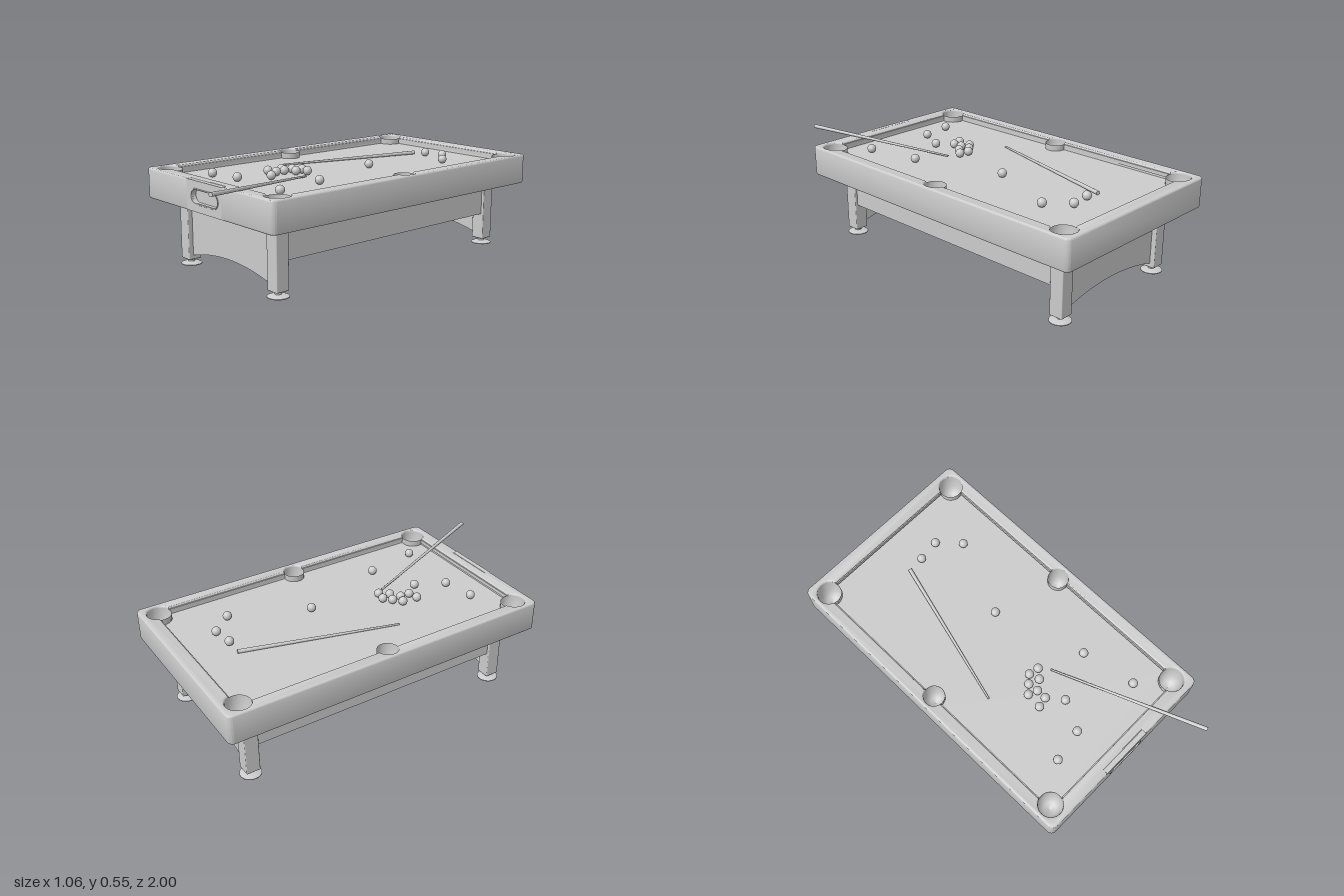
import * as THREE from 'three';
import { toCreasedNormals } from 'three/addons/utils/BufferGeometryUtils.js';
import { RoundedBoxGeometry } from 'three/addons/geometries/RoundedBoxGeometry.js';

const CZ = -0.105; // centre of the table along z
const BED = 0.468, TOP = 0.51, BOTTOM = 0.35;
const grey = new THREE.MeshStandardMaterial({ color: 0xcccccc, side: THREE.DoubleSide });

// Pockets in plan: x, z from the table centre, radius, outward angle, half sweep (degrees)
const pockets = [
  [0.455, 0, 0.055, 0, 79.5], [0.445, 0.8, 0.063, 45, 116.5], [-0.445, 0.8, 0.063, 135, 116.5],
  [-0.455, 0, 0.055, 180, 79.5], [-0.445, -0.8, 0.063, 225, 116.5], [0.445, -0.8, 0.063, 315, 116.5],
];

function add(parent, name, geometry, x = 0, y = 0, z = 0) {
  const mesh = new THREE.Mesh(geometry, grey);
  mesh.name = name;
  mesh.position.set(x, y, z);
  parent.add(mesh);
  return mesh;
}

function extrude(shape, depth, bevel = 0) {
  const g = new THREE.ExtrudeGeometry(shape, {
    depth: depth - 2 * bevel, bevelEnabled: bevel > 0, bevelSize: bevel, bevelThickness: bevel,
    bevelOffset: -bevel, bevelSegments: 3, curveSegments: 20,
  });
  g.translate(0, 0, bevel);
  return toCreasedNormals(g, 0.6);
}

// Extrudes a plan shape downwards from y = 0
const slab = (shape, depth, bevel) => extrude(shape, depth, bevel).rotateX(Math.PI / 2);

function stadium(target, halfWidth, r, cy) {
  target.absarc(halfWidth - r, cy, r, -Math.PI / 2, Math.PI / 2, false);
  target.absarc(-halfWidth + r, cy, r, Math.PI / 2, Math.PI * 1.5, false);
  target.closePath();
  return target;
}

// Outer frame in plan, notched at the front for the ball return
function frameShape() {
  const w = 0.53, l = 0.895, r = 0.03, n = 0.14, d = 0.868;
  const s = new THREE.Shape();
  s.moveTo(-w + r, -l);
  s.lineTo(w - r, -l);
  s.absarc(w - r, -l + r, r, -Math.PI / 2, 0, false);
  s.absarc(w - r, l - r, r, 0, Math.PI / 2, false);
  s.lineTo(n, l); s.lineTo(n, d); s.lineTo(-n, d); s.lineTo(-n, l);
  s.absarc(-w + r, l - r, r, Math.PI / 2, Math.PI, false);
  s.absarc(-w + r, -l + r, r, Math.PI, Math.PI * 1.5, false);
  // inner outline, bulging around each pocket
  const hole = [];
  for (const [x, z, rad, dir, half] of pockets) {
    for (let i = 0; i <= 20; i++) {
      const a = THREE.MathUtils.degToRad(dir - half + (2 * half * i) / 20);
      hole.push(new THREE.Vector2(x + rad * Math.cos(a), z + rad * Math.sin(a)));
    }
  }
  s.holes.push(new THREE.Path(hole));
  return s;
}

function bedShape() {
  const w = 0.515, l = 0.868;
  const s = new THREE.Shape([[-w, -l], [w, -l], [w, l], [-w, l]].map(p => new THREE.Vector2(...p)));
  for (const [x, z, r] of pockets) s.holes.push(new THREE.Path().absarc(x, z, r, 0, Math.PI * 2, true));
  return s;
}

// End panel with an arched lower edge
function endPanelShape() {
  const s = new THREE.Shape();
  s.moveTo(-0.34, BOTTOM + 0.005);
  s.lineTo(-0.34, 0.05);
  s.quadraticCurveTo(0, 0.147, 0.34, 0.05);
  s.lineTo(0.34, BOTTOM + 0.005);
  s.closePath();
  return s;
}

// Tapered cue from butt to tip
function cue(parent, name, butt, tip) {
  const a = new THREE.Vector3(...butt), b = new THREE.Vector3(...tip);
  const dir = b.clone().sub(a);
  const mesh = add(parent, name, new THREE.CylinderGeometry(0.005, 0.0105, dir.length(), 16));
  mesh.position.copy(a).add(b).multiplyScalar(0.5);
  mesh.quaternion.setFromUnitVectors(new THREE.Vector3(0, 1, 0), dir.normalize());
}

export function createModel() {
  const table = new THREE.Group();
  table.name = 'poolTable';

  // Frame and playing bed
  add(table, 'frame', slab(frameShape(), TOP - BOTTOM, 0.008), 0, TOP, CZ);
  add(table, 'bed', slab(bedShape(), BED - BOTTOM - 0.003), 0, BED, CZ);

  // Cushions between the pockets
  for (const s of [-1, 1]) {
    for (const e of [-1, 1]) {
      add(table, 'sideCushion', new THREE.BoxGeometry(0.014, 0.02, 0.675), s * 0.466, 0.49, CZ + e * 0.397);
    }
    add(table, 'endCushion', new THREE.BoxGeometry(0.76, 0.02, 0.014), 0, 0.49, CZ + s * 0.821);
  }

  // Pocket cups
  for (const [x, z, r] of pockets) {
    const profile = [[0, 0.375], [r * 0.5, 0.385], [r * 0.97, 0.41], [r * 0.99, 0.5]];
    add(table, 'pocketCup', new THREE.LatheGeometry(profile.map(p => new THREE.Vector2(...p)), 28), x, 0, z + CZ);
  }

  // Ball return: front plate with a rounded opening and a rim
  const plate = new THREE.Shape([[-0.15, 0.352], [0.15, 0.352], [0.15, 0.508], [-0.15, 0.508]]
    .map(p => new THREE.Vector2(...p)));
  plate.holes.push(stadium(new THREE.Path(), 0.112, 0.035, 0.43));
  add(table, 'ballReturnPlate', extrude(plate, 0.027), 0, 0, 0.763);
  const rim = stadium(new THREE.Shape(), 0.117, 0.04, 0.43);
  rim.holes.push(stadium(new THREE.Path(), 0.11, 0.033, 0.43));
  add(table, 'ballReturnRim', extrude(rim, 0.01, 0.002), 0, 0, 0.783);

  // Legs with levelling feet, and the arched end panels
  const footProfile = [[0, 0], [0.055, 0], [0.055, 0.004], [0.035, 0.012], [0.017, 0.014], [0.017, 0.032], [0, 0.032]]
    .map(p => new THREE.Vector2(...p));
  const foot = toCreasedNormals(new THREE.LatheGeometry(footProfile, 28), 0.6);
  for (const z of [0.6375, -0.8375]) {
    for (const s of [-1, 1]) {
      add(table, 'leg', new RoundedBoxGeometry(0.075, 0.325, 0.075, 2, 0.005), s * 0.3675, 0.1925, z);
      add(table, 'foot', foot, s * 0.3675, 0, z);
    }
    add(table, 'endPanel', extrude(endPanelShape(), 0.024), 0, 0, z - 0.012);
  }

  // Side panels
  for (const s of [-1, 1]) {
    add(table, 'sidePanel', new THREE.BoxGeometry(0.022, 0.18, 1.42), s * 0.38, 0.265, -0.1);
  }

  // Balls
  const spots = [
    [0.037, -0.71], [0.153, -0.725], [0.254, -0.614], [0.09, -0.21], [-0.033, 0.155], [0.021, 0.165],
    [-0.073, 0.19], [-0.017, 0.21], [-0.115, 0.227], [-0.068, 0.246], [-0.068, 0.3], [-0.122, 0.312],
    [-0.005, 0.381], [0.245, 0.275], [-0.256, 0.566], [-0.083, 0.535], [0.3, 0.566],
  ];
  const ball = new THREE.SphereGeometry(0.0235, 24, 16);
  for (const [x, z] of spots) add(table, 'ball', ball, x, BED + 0.0235, z);

  // Cues: one lying on the bed, one resting on the front rail
  cue(table, 'lyingCue', [-0.05, 0.479, -0.71], [-0.267, 0.474, 0.095]);
  cue(table, 'restingCue', [0.36, 0.54, 0.995], [0.065, 0.475, 0.213]);

  return table;
}
